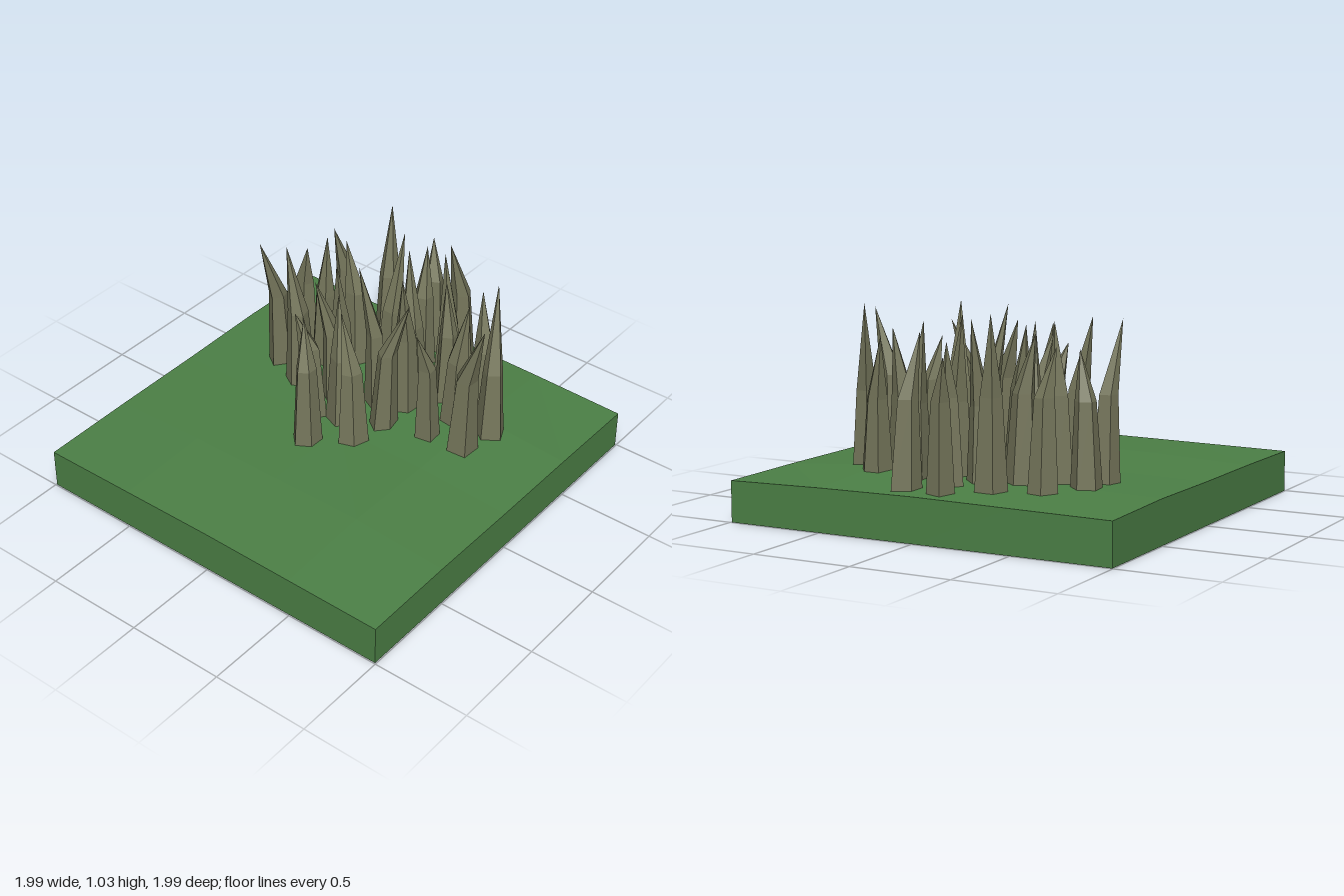
import * as THREE from 'three';

// base x, base z, tip x, tip z, tip height
const SPIKES = [
  [0.29, -0.61, 0.17, -0.64, 0.97], [0.47, -0.60, 0.43, -0.55, 0.85],
  [0.20, -0.42, 0.22, -0.51, 0.98], [0.41, -0.43, 0.43, -0.42, 0.97],
  [0.66, -0.47, 0.62, -0.53, 0.88], [0.52, -0.30, 0.52, -0.37, 0.92],
  [0.73, -0.26, 0.79, -0.29, 1.03], [0.34, -0.25, 0.28, -0.24, 0.95],
  [0.21, -0.20, 0.16, -0.28, 0.90], [0.02, -0.20, -0.02, -0.26, 0.82],
  [-0.17, -0.07, -0.11, -0.13, 0.90], [0.08, -0.05, 0.13, -0.11, 0.91],
  [0.30, 0.00, 0.25, -0.08, 1.02], [0.57, -0.12, 0.67, -0.12, 0.99],
  [0.71, -0.02, 0.77, -0.05, 0.89], [0.87, -0.07, 0.92, -0.12, 0.84],
  [0.51, 0.06, 0.56, -0.01, 0.99], [0.86, 0.11, 0.80, 0.07, 0.93],
  [-0.03, 0.10, 0.01, 0.00, 0.92], [0.16, 0.14, 0.25, 0.23, 0.93],
  [0.34, 0.14, 0.28, 0.16, 1.03], [0.65, 0.20, 0.67, 0.13, 0.97],
  [0.53, 0.27, 0.56, 0.22, 0.90], [0.24, 0.36, 0.17, 0.33, 0.84],
  [0.41, 0.39, 0.46, 0.43, 0.90], [0.59, 0.45, 0.63, 0.39, 0.88],
  [0.26, 0.55, 0.24, 0.67, 0.97], [0.44, 0.60, 0.55, 0.53, 1.02],
];

// Heights of the slab's uneven top, rows from back to front
const HEIGHTS = [
  [0.205, 0.21, 0.21, 0.215, 0.205],
  [0.21, 0.23, 0.22, 0.225, 0.21],
  [0.215, 0.235, 0.23, 0.235, 0.215],
  [0.21, 0.24, 0.23, 0.24, 0.21],
  [0.205, 0.21, 0.205, 0.205, 0.20],
];

function seeded(seed) {
  return () => {
    seed = (seed * 16807) % 2147483647;
    return seed / 2147483647;
  };
}

// Five-sided shard: irregular foot, shoulder ring, then a leaning point
function shardGeometry([bx, bz, tx, tz, h], rand) {
  const sides = 5;
  const geo = new THREE.CylinderGeometry(1, 1, 1, sides, 2);
  const turn = rand() * Math.PI * 2;
  const shoulderY = 0.56 + rand() * 0.1;
  const radii = Array.from({ length: sides }, () => 0.062 + rand() * 0.03);
  const lean = 0.15;
  const p = geo.attributes.position;
  for (let i = 0; i < p.count; i++) {
    const x = p.getX(i), y = p.getY(i), z = p.getZ(i);
    if (y > 0.4) {
      p.setXYZ(i, tx, h, tz);
      continue;
    }
    const a = Math.atan2(z, x);
    const side = Math.round((a / (Math.PI * 2) + 1) * sides - 0.25) % sides;
    const shoulder = y > -0.4;
    const r = Math.hypot(x, z) < 0.1 ? 0 : radii[side] * (shoulder ? 0.66 : 1);
    const k = shoulder ? lean : 0;
    p.setXYZ(i,
      bx + (tx - bx) * k + Math.cos(a + turn) * r,
      shoulder ? shoulderY : 0.2,
      bz + (tz - bz) * k + Math.sin(a + turn) * r);
  }
  geo.computeVertexNormals();
  return geo;
}

export function createModel() {
  const model = new THREE.Group();
  model.name = 'rockSpikeTile';
  const grass = new THREE.MeshStandardMaterial({ color: 0x4c8046, flatShading: true });
  const stone = new THREE.MeshStandardMaterial({ color: 0x75765b, flatShading: true });

  // Ground slab with a gently bumpy top
  const slab = new THREE.BoxGeometry(1.99, 0.2, 1.99, 4, 1, 4);
  slab.translate(0, 0.1, 0);
  const p = slab.attributes.position;
  for (let i = 0; i < p.count; i++) {
    if (p.getY(i) < 0.1) continue;
    const col = Math.round(p.getX(i) * 2 + 2), row = Math.round(p.getZ(i) * 2 + 2);
    p.setY(i, HEIGHTS[row][col]);
  }
  slab.computeVertexNormals();
  const ground = new THREE.Mesh(slab, grass);
  ground.name = 'groundSlab';
  model.add(ground);

  // Cluster of stone shards
  const cluster = new THREE.Group();
  cluster.name = 'spikeCluster';
  const rand = seeded(4217);
  SPIKES.forEach((spike, i) => {
    const shard = new THREE.Mesh(shardGeometry(spike, rand), stone);
    shard.name = `spike${i + 1}`;
    cluster.add(shard);
  });
  model.add(cluster);
  return model;
}
